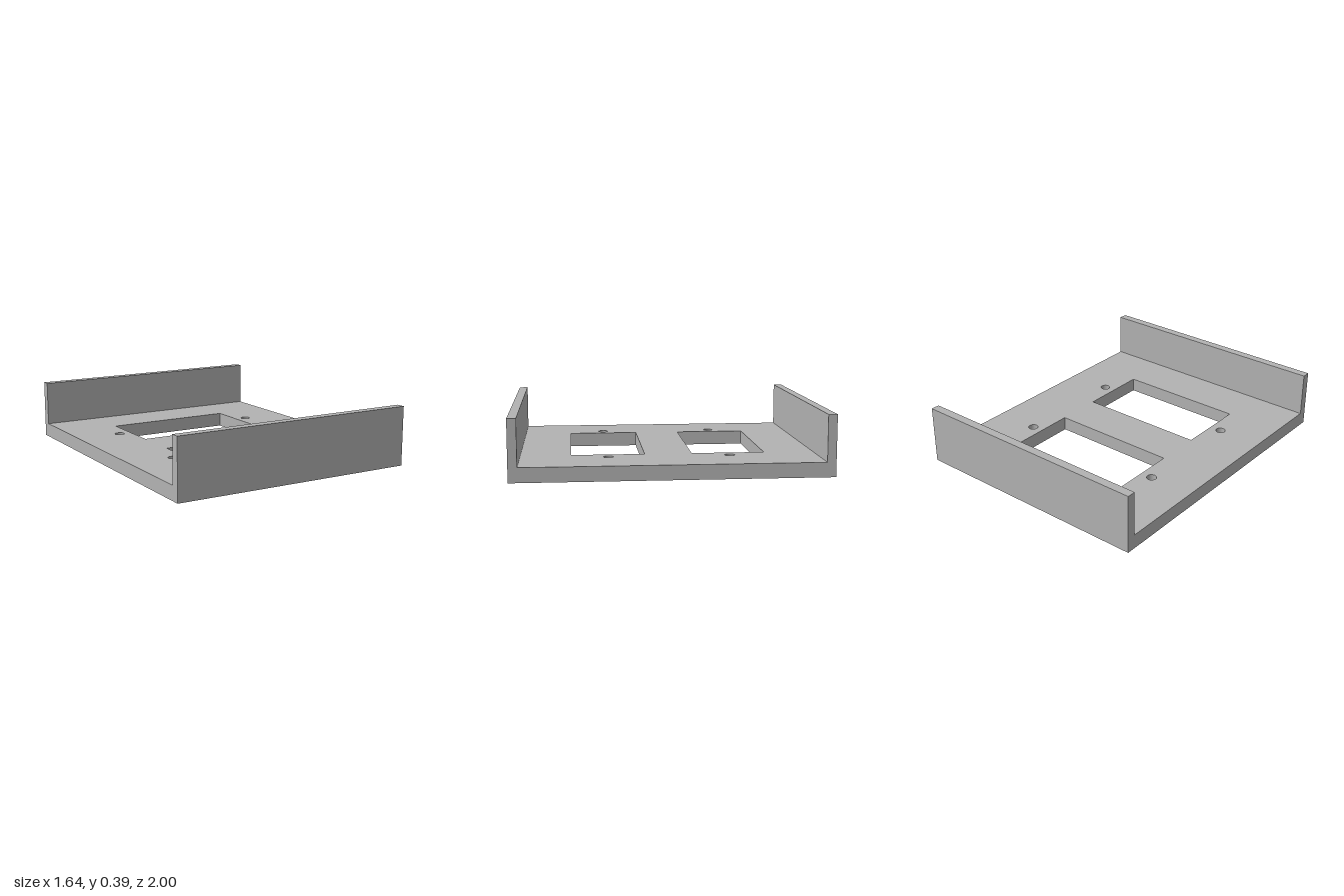
import * as THREE from 'three';

const WIDTH = 1.645, LENGTH = 2, HEIGHT = 0.39;
const FLOOR = 0.094, WALL = 0.057;

export function createModel() {
  const model = new THREE.Group();
  model.name = 'mountingBracket';
  const grey = new THREE.MeshStandardMaterial({ color: 0xb2b2b2 });
  grey.name = 'plain grey';

  // Base plate outline, fitting between the two end walls
  const hx = WIDTH / 2, hz = LENGTH / 2 - WALL;
  const outline = new THREE.Shape([
    new THREE.Vector2(-hx, -hz), new THREE.Vector2(hx, -hz),
    new THREE.Vector2(hx, hz), new THREE.Vector2(-hx, hz),
  ]);

  // Each half has a rectangular window with a screw hole on either side
  for (const z of [-0.387, 0.387]) {
    const x0 = -0.438, x1 = 0.435, h = 0.235;
    outline.holes.push(new THREE.Path([
      new THREE.Vector2(x0, z - h), new THREE.Vector2(x0, z + h),
      new THREE.Vector2(x1, z + h), new THREE.Vector2(x1, z - h),
    ]));
    for (const x of [-0.518, 0.515]) {
      outline.holes.push(new THREE.Path().absarc(x, z, 0.032, 0, Math.PI * 2, true));
    }
  }

  const plateGeometry = new THREE.ExtrudeGeometry(outline, {
    depth: FLOOR, bevelEnabled: false, curveSegments: 32,
  });
  plateGeometry.rotateX(-Math.PI / 2);
  const plate = new THREE.Mesh(plateGeometry, grey);
  plate.name = 'basePlate';
  model.add(plate);

  // Upright end walls
  const wallGeometry = new THREE.BoxGeometry(WIDTH, HEIGHT, WALL);
  for (const [name, side] of [['frontWall', 1], ['backWall', -1]]) {
    const wall = new THREE.Mesh(wallGeometry, grey);
    wall.name = name;
    wall.position.set(0, HEIGHT / 2, side * (LENGTH - WALL) / 2);
    model.add(wall);
  }
  return model;
}
